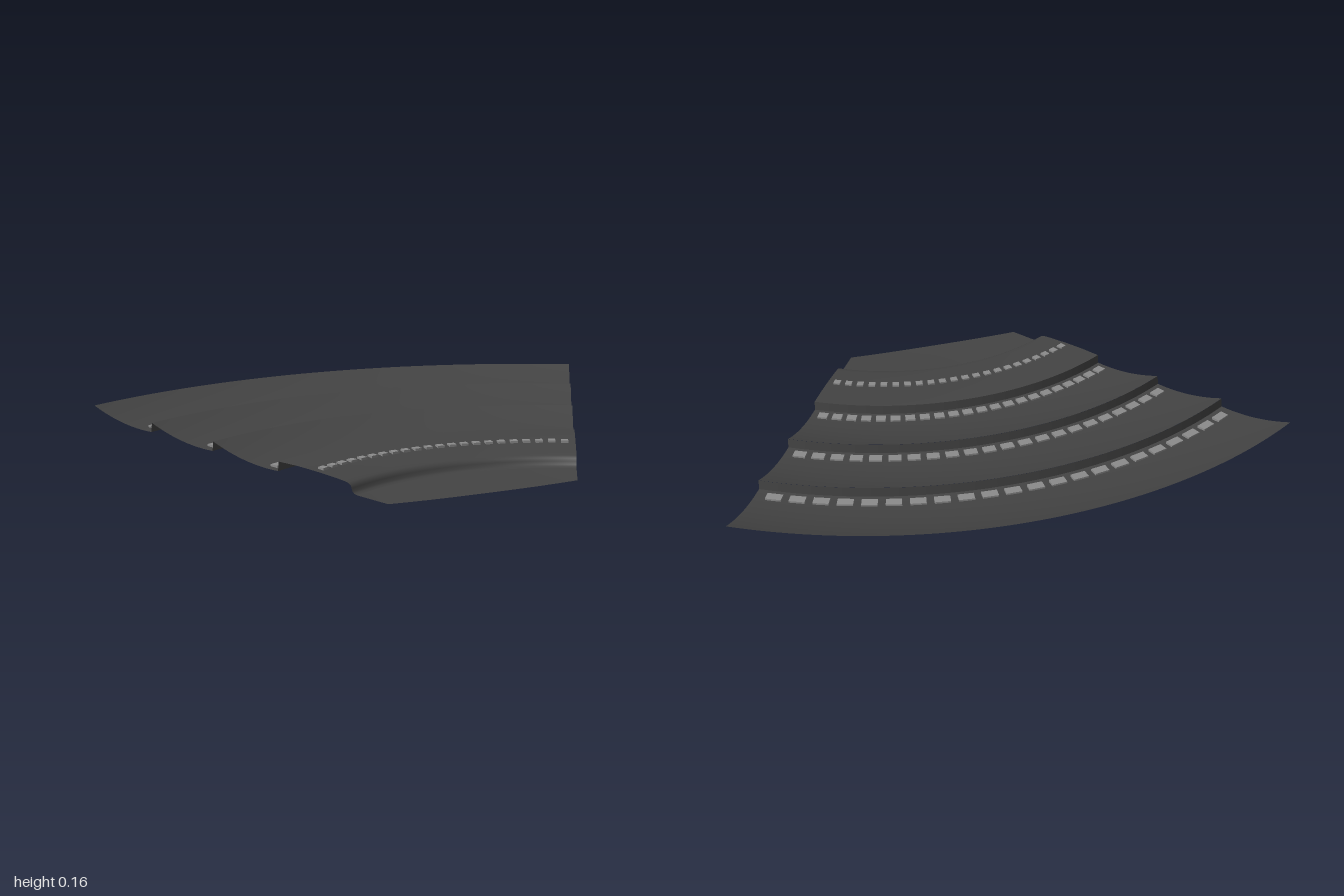
import * as THREE from 'three';

const APEX_Z = 1.295;          // centre of the fan
const HALF = Math.PI / 6;      // half opening angle
const SEG = 64;

const shellMat = new THREE.MeshStandardMaterial({ color: 0x444444, side: THREE.DoubleSide });
const ventMat = new THREE.MeshStandardMaterial({ color: 0x8c8c8c });

// Sweep a profile of [radius, height], outer to inner, through the sector
function sector(name, pts) {
  const geo = new THREE.LatheGeometry(
    pts.map(([r, y]) => new THREE.Vector2(r, y)), SEG, Math.PI - HALF, 2 * HALF);
  const mesh = new THREE.Mesh(geo, shellMat);
  mesh.name = name;
  return mesh;
}

// Row of small blocks along an arc
function blockRow(name, radius, y, length, depth) {
  const row = new THREE.Group();
  row.name = name;
  const geo = new THREE.BoxGeometry(length, 0.01, depth);
  const count = 22, span = THREE.MathUtils.degToRad(55.5);
  for (let i = 0; i < count; i++) {
    const a = -span / 2 + span * i / (count - 1);
    const block = new THREE.Mesh(geo, ventMat);
    block.name = name + 'Block';
    block.position.set(radius * Math.sin(a), y, -radius * Math.cos(a));
    block.rotation.y = -a;
    row.add(block);
  }
  return row;
}

export function createModel() {
  const model = new THREE.Group();
  model.name = 'steppedFan';
  const fan = new THREE.Group();
  fan.name = 'fan';
  fan.position.z = APEX_Z;
  model.add(fan);

  // Three curved tiers, each starting at the foot of a step
  for (let k = 0; k < 3; k++) {
    const r0 = 1.13 + 0.29 * k, base = 0.042 + 0.0265 * k, crest = 0.075 + 0.0265 * k;
    const pts = [];
    for (let i = 12; i >= 0; i--) {
      const t = i / 12;
      pts.push([r0 + 0.004 + 0.286 * t, base + 0.06 * t * t]);
    }
    fan.add(sector('tier', pts));
    fan.add(sector('step', [[r0 + 0.004, base], [r0, crest]]));
    fan.add(blockRow('tierVents', r0 + 0.045, base + 0.004, 0.032 * r0, 0.032));
  }

  // Inner tier with its rounded lip down to the floor
  fan.add(sector('innerTier', [
    [1.13, 0.075], [1.05, 0.072], [0.975, 0.066], [0.91, 0.059], [0.865, 0.053],
    [0.845, 0.049], [0.834, 0.042], [0.83, 0.032], [0.826, 0.022], [0.82, 0.016], [0.81, 0.013]]));
  fan.add(blockRow('innerVents', 0.975, 0.068, 0.025, 0.025));

  // Floor, its inner arc pulled out to a straight front edge
  const steps = 6, pts = [];
  for (let i = steps; i >= 0; i--) pts.push([0.595 + 0.215 * i / steps, 0]);
  const floor = sector('floor', pts);
  const pos = floor.geometry.attributes.position;
  for (let i = 0; i < pos.count; i++) {
    const x = pos.getX(i), z = pos.getZ(i), r = Math.hypot(x, z);
    const t = (r - 0.595) / 0.215, rIn = 0.595 * r / -z;
    const rNew = rIn + (0.81 - rIn) * t, u = (rNew - 0.595) / 0.215;
    pos.setXYZ(i, x * rNew / r, 0.013 * Math.pow(Math.max(u, 0), 1.3), z * rNew / r);
  }
  floor.geometry.computeVertexNormals();
  fan.add(floor);

  return model;
}
